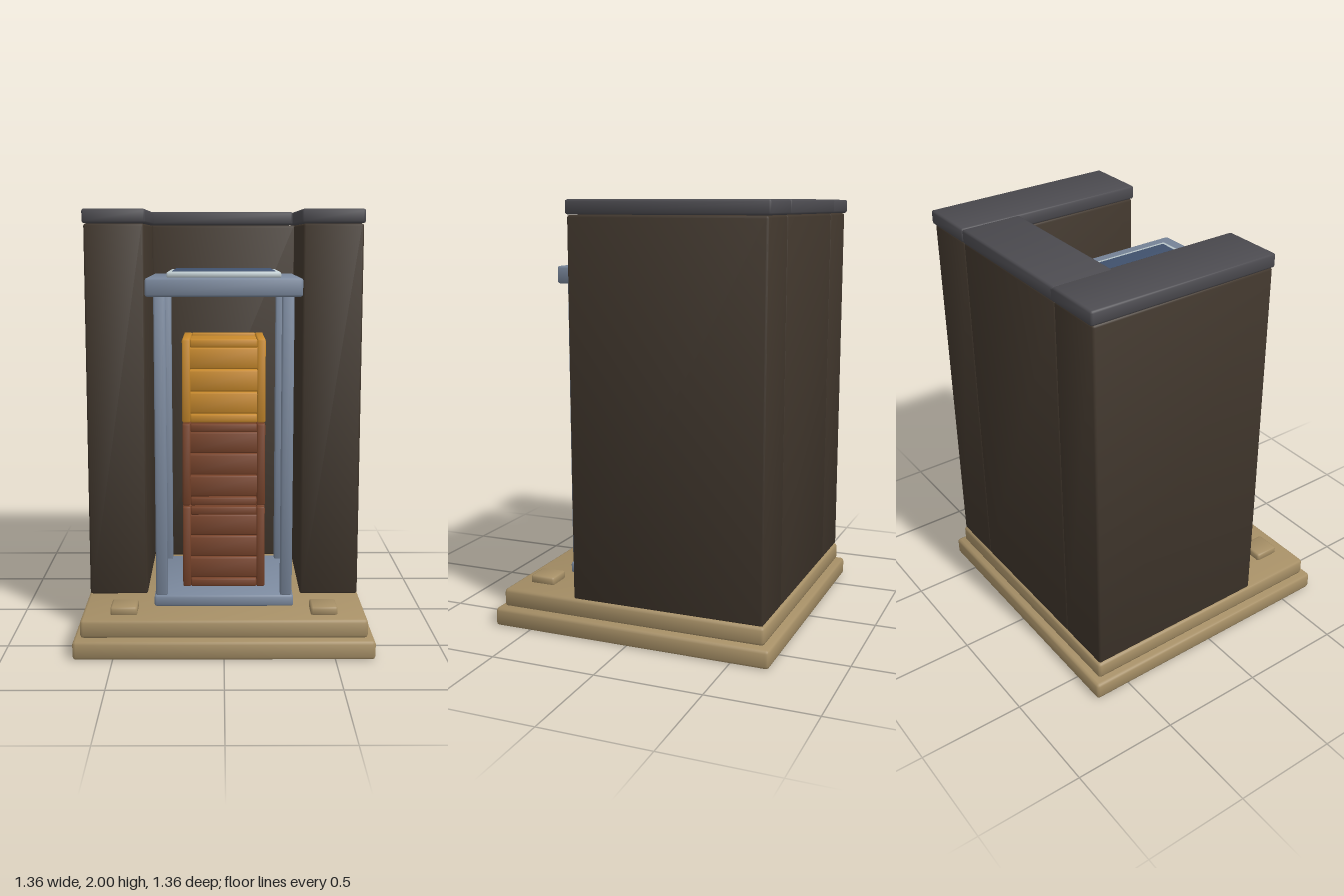
import * as THREE from 'three';
import { RoundedBoxGeometry } from 'three/addons/geometries/RoundedBoxGeometry.js';

const material = (name, color) => {
  const m = new THREE.MeshStandardMaterial({ color });
  m.name = name;
  return m;
};

// Bevelled box given by its min and max on each axis, with softly smoothed normals
function block(parent, name, mat, [x0, x1], [y0, y1], [z0, z1], bevel = 0.01) {
  const geo = new RoundedBoxGeometry(x1 - x0, y1 - y0, z1 - z0, 1, bevel);
  const p = geo.attributes.position, n = geo.attributes.normal;
  const v = new THREE.Vector3();
  for (let i = 0; i < p.count; i++) {
    v.fromBufferAttribute(n, i);
    v.x += 0.33 * Math.sign(p.getX(i));
    v.y += 0.33 * Math.sign(p.getY(i));
    v.z += 0.33 * Math.sign(p.getZ(i));
    v.normalize();
    n.setXYZ(i, v.x, v.y, v.z);
  }
  const mesh = new THREE.Mesh(geo, mat);
  mesh.name = name;
  mesh.position.set((x0 + x1) / 2, (y0 + y1) / 2, (z0 + z1) / 2);
  parent.add(mesh);
  return mesh;
}

// Slatted cube crate standing on its origin
function crate(name, mat) {
  const g = new THREE.Group();
  g.name = name;
  const h = 0.193, size = 0.387, bar = 0.038, inset = 0.012;
  for (const a of [-1, 1]) {
    const side = a < 0 ? [-h, -h + bar] : [h - bar, h];
    for (const b of [-1, 1]) {
      const other = b < 0 ? [-h, -h + bar] : [h - bar, h];
      block(g, 'crateCornerPost', mat, side, [0, size], other, 0.006);
      const level = b < 0 ? [0, bar] : [size - bar, size];
      block(g, 'crateRailAcross', mat, [-h + bar, h - bar], level, side, 0.006);
      block(g, 'crateRailDeep', mat, side, level, [-h + bar, h - bar], 0.006);
    }
  }
  // side boards and lid boards
  const step = (size - 2 * bar) / 3, r = h - inset;
  for (let i = 0; i < 3; i++) {
    const y = bar + i * step;
    block(g, 'crateSideBoard', mat, [-r, r], [y + 0.002, y + step - 0.002], [-r, r], 0.008);
    const z = -h + bar + i * step;
    block(g, 'crateLidBoard', mat, [-r + 0.02, r - 0.02], [size - bar, size - inset], [z + 0.002, z + step - 0.002], 0.006);
  }
  return g;
}

export function createModel() {
  const model = new THREE.Group();
  model.name = 'crateAlcove';
  const stone = material('sandstone', 0xa68f66);
  const wall = material('darkWall', 0x40362c);
  const coping = material('charcoalCoping', 0x4c4b50);
  const steel = material('blueSteel', 0x7c8a9f);
  const trim = material('paleTrim', 0xc3d0d4);
  const glass = material('navyGlass', 0x445673);
  const brown = material('brownWood', 0x78432a);
  const amber = material('amberWood', 0xc98a2b);

  // Stepped base
  block(model, 'lowerStep', stone, [-0.68, 0.68], [0, 0.087], [-0.68, 0.68], 0.015);
  block(model, 'upperStep', stone, [-0.648, 0.648], [0.09, 0.176], [-0.648, 0.648], 0.015);

  // U-shaped wall with coping
  block(model, 'backWall', wall, [-0.37, 0.37], [0.176, 1.932], [-0.64, -0.37]);
  block(model, 'backCoping', coping, [-0.385, 0.357], [1.934, 2], [-0.652, -0.36]);
  for (const s of [-1, 1]) {
    const span = (a, b) => (s > 0 ? [a, b] : [-b, -a]);
    block(model, 'sideWall', wall, span(0.365, 0.641), [0.176, 1.932], [-0.64, 0.28]);
    block(model, 'sideCoping', coping, span(0.357, 0.648), [1.934, 1.999], [-0.652, 0.286]);
    block(model, 'frontPad', stone, span(0.395, 0.517), [0.17, 0.212], [0.453, 0.577]);
  }

  // Canopy on four posts
  const canopy = new THREE.Group();
  canopy.name = 'canopy';
  canopy.position.z = 0.14;
  model.add(canopy);
  block(canopy, 'floorPlate', steel, [-0.322, 0.322], [0.176, 0.23], [-0.322, 0.322]);
  block(canopy, 'roofPlate', steel, [-0.35, 0.35], [1.61, 1.692], [-0.35, 0.35]);
  for (const x of [-0.288, 0.288])
    for (const z of [-0.288, 0.288])
      block(canopy, 'post', steel, [x - 0.027, x + 0.027], [0.225, 1.615], [z - 0.027, z + 0.027], 0.008);
  block(canopy, 'skylightTrim', trim, [-0.258, 0.258], [1.69, 1.717], [-0.258, 0.258], 0.008);
  block(canopy, 'skylightGlass', glass, [-0.233, 0.233], [1.715, 1.721], [-0.233, 0.233], 0.002);

  // Stack of crates
  [brown, brown, amber].forEach((mat, i) => {
    const c = crate(['bottomCrate', 'middleCrate', 'topCrate'][i], mat);
    c.position.set(0, 0.231 + i * 0.395, 0.14);
    model.add(c);
  });
  return model;
}
